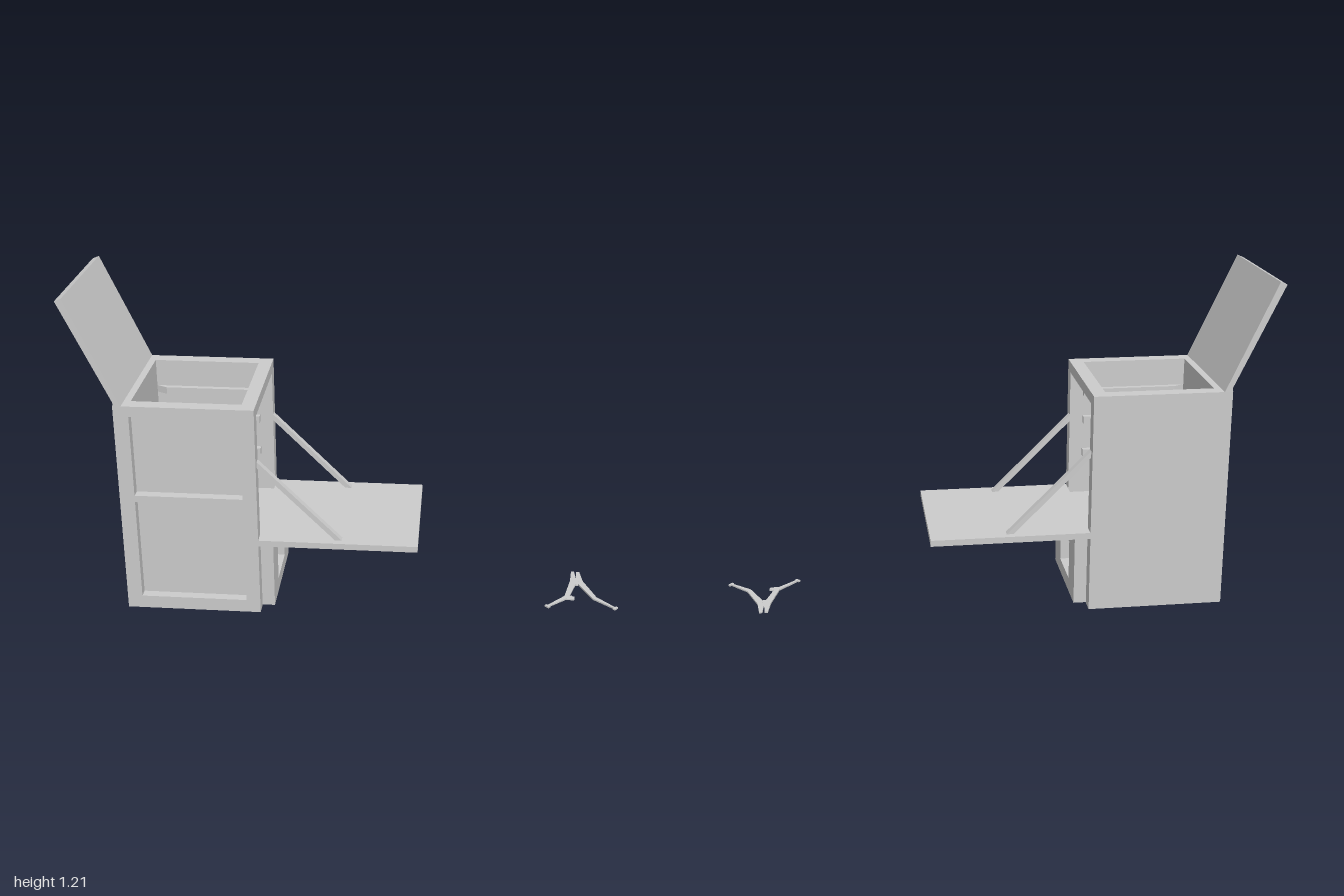
import * as THREE from 'three';

const mat = new THREE.MeshStandardMaterial({ color: 0xcccccc, flatShading: true, side: THREE.DoubleSide });

function add(group, name, geometry) {
  const mesh = new THREE.Mesh(geometry, mat);
  mesh.name = name;
  group.add(mesh);
  return mesh;
}

// Box given by its lower and upper corners
function slab(group, name, [x0, y0, z0], [x1, y1, z1]) {
  const mesh = add(group, name, new THREE.BoxGeometry(x1 - x0, y1 - y0, z1 - z0));
  mesh.position.set((x0 + x1) / 2, (y0 + y1) / 2, (z0 + z1) / 2);
  return mesh;
}

// Flat outline with holes, extruded along +z
function plate(points, holes, depth) {
  const toVectors = (list) => list.map(([x, y]) => new THREE.Vector2(x, y));
  const shape = new THREE.Shape(toVectors(points));
  for (const hole of holes) shape.holes.push(new THREE.Path(toVectors(hole)));
  return new THREE.ExtrudeGeometry(shape, { depth, bevelEnabled: false });
}

const rect = (x0, y0, x1, y1) => [[x0, y0], [x1, y0], [x1, y1], [x0, y1]];

// Plate drawn in (z, y), standing at x0 and extruded along +x
function sidePlate(points, holes, x0, depth) {
  const flip = (list) => list.map(([z, y]) => [-z, y]);
  return plate(flip(points), holes.map(flip), depth).rotateY(Math.PI / 2).translate(x0, 0, 0);
}

// Plate drawn in (x, z), lying at y0 and extruded upward
function floorPlate(points, holes, y0, depth) {
  const flip = (list) => list.map(([x, z]) => [x, -z]);
  return plate(flip(points), holes.map(flip), depth).rotateX(-Math.PI / 2).translate(0, y0, 0);
}

function makeCabinet() {
  const g = new THREE.Group();
  g.name = 'cabinet';
  slab(g, 'bottom', [-0.78, 0, -0.2], [-0.38, 0.05, 0.2]);
  slab(g, 'backWall', [-0.83, 0, -0.25], [-0.38, 0.82, -0.2]);
  slab(g, 'closedSideWall', [-0.83, 0, -0.2], [-0.775, 0.82, 0.2]);

  // Front wall: a frame around two recessed panels
  add(g, 'frontFrame', plate(rect(-0.83, 0, -0.38, 0.82),
    [rect(-0.775, 0.05, -0.381, 0.445), rect(-0.775, 0.47, -0.381, 0.78)], 0.035)).position.z = 0.215;
  slab(g, 'frontPanels', [-0.83, 0, 0.2], [-0.38, 0.82, 0.215]);

  // Open side with a tall opening and a small vent below it
  add(g, 'openSideFrame', sidePlate(rect(-0.25, 0, 0.25, 0.82),
    [rect(-0.2, 0.29, 0.2, 0.78), rect(-0.09, 0.055, 0.09, 0.205)], -0.38, 0.05));

  // Inner shelf with a square hole crossed by a bar
  add(g, 'shelf', floorPlate(rect(-0.775, -0.2, -0.38, 0.2),
    [rect(-0.735, -0.16, -0.415, 0.16)], 0.265, 0.025));
  slab(g, 'shelfBar', [-0.735, 0.265, -0.025], [-0.415, 0.29, 0.02]);

  // Rack rails with a slanted inner end
  for (const y of [0.445, 0.58, 0.69]) {
    for (const s of [-1, 1]) {
      add(g, 'rackRail', floorPlate(
        [[-0.775, 0.2 * s], [-0.735, 0.18 * s], [-0.38, 0.18 * s], [-0.38, 0.2 * s]], [], y, 0.027));
    }
  }
  return g;
}

// Tapered flat stroke on the ground from a to b
function stroke(a, b, wa, wb) {
  const d = new THREE.Vector2(b[0] - a[0], b[1] - a[1]).normalize();
  const edge = (p, w) => [p[0] - d.y * w, p[1] + d.x * w];
  return floorPlate([edge(a, wa), edge(b, wb), edge(b, -wb), edge(a, -wa)], [], 0, 0.006);
}

function makeTwig() {
  const g = new THREE.Group();
  g.name = 'forkedTwig';
  const paths = [
    [[0.85, -0.134], [0.848, -0.06], [0.815, 0.055], [0.74, 0.125]],
    [[0.87, -0.134], [0.872, -0.06], [0.92, 0.055], [0.99, 0.12]],
    [[0.812, 0.065], [0.838, 0.058]],
  ];
  const widths = [0.006, 0.013, 0.009, 0.004];
  for (const path of paths) {
    for (let i = 0; i < path.length - 1; i++) {
      add(g, 'twigBranch', stroke(path[i], path[i + 1], widths[i], widths[i + 1]));
    }
  }
  // Small blunt ends and the joint between both arms
  for (const [a, b] of [[[0.732, 0.119], [0.746, 0.132]], [[0.999, 0.113], [0.985, 0.128]],
    [[0.839, 0.051], [0.839, 0.066]], [[0.86, -0.07], [0.86, -0.035]]]) {
    add(g, 'twigEnd', stroke(a, b, 0.005, 0.005));
  }
  return g;
}

export function createModel() {
  const model = new THREE.Group();
  model.add(makeCabinet());

  // Raised lid leaning outward
  const lid = plate([[-0.828, 0.833], [-0.828, 0.82], [-0.8, 0.82], [-0.976, 1.21], [-1, 1.2]], [], 0.5);
  add(model, 'lid', lid).position.z = -0.25;

  // Lowered side door used as a table
  slab(model, 'foldDownTable', [-0.33, 0.282, -0.25], [0.25, 0.305, 0.25]);

  // Diagonal stays holding the table
  const stay = [[-0.33, 0.61], [-0.33, 0.585], [-0.052, 0.305], [-0.027, 0.305]];
  for (const z of [-0.225, 0.2]) {
    add(model, 'tableStay', plate(stay, [], 0.025)).position.z = z;
  }

  // Lower hatch with a square vent
  add(model, 'lowerHatch', sidePlate(rect(-0.197, 0.003, 0.2, 0.26),
    [rect(-0.09, 0.055, 0.09, 0.205)], -0.33, 0.047));

  model.add(makeTwig());
  return model;
}
